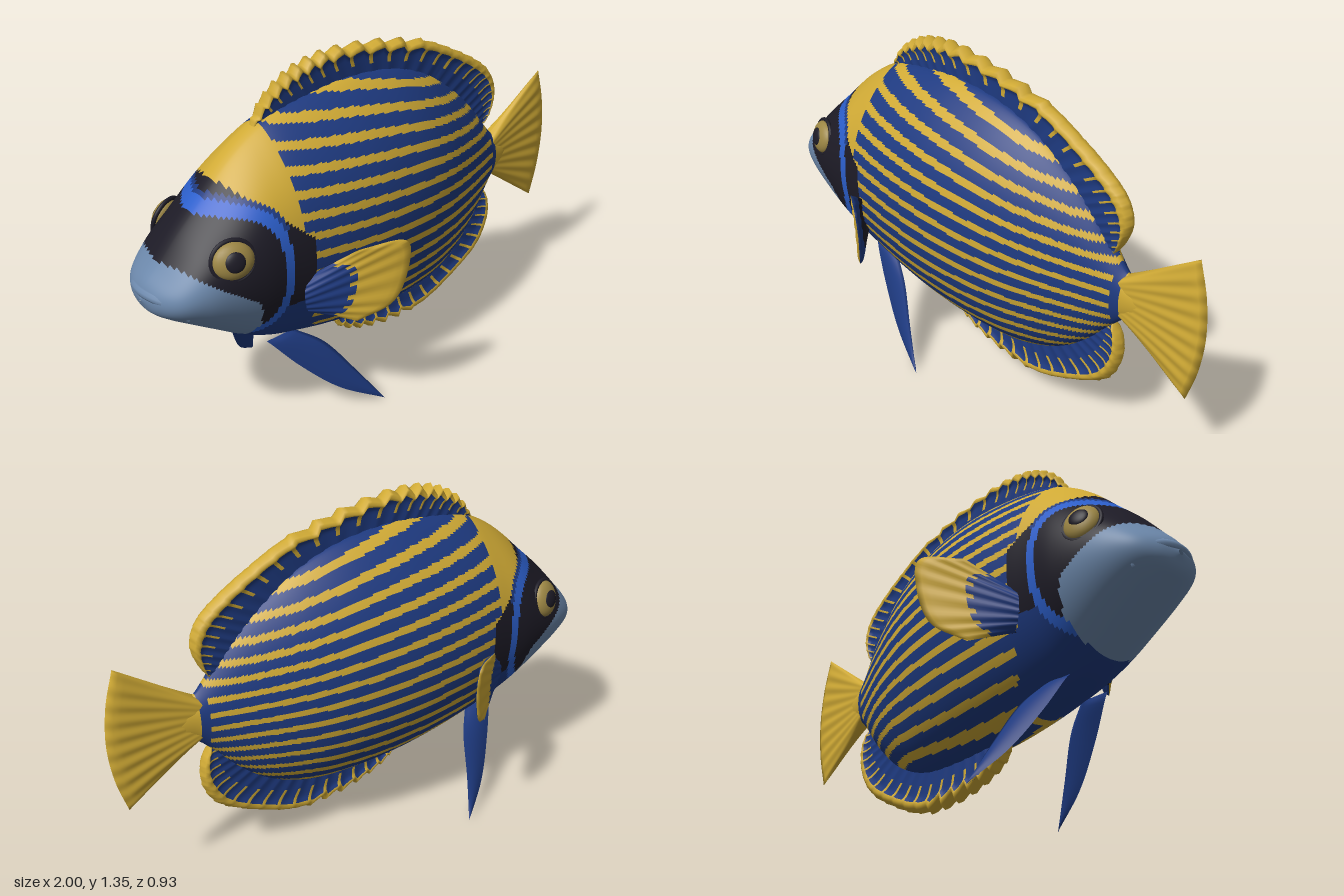
import * as THREE from 'three';

const mat = (name, color) => new THREE.MeshStandardMaterial({ name, color });
const V = (x, y, z = 0) => new THREE.Vector3(x, y, z);
const spline = (pts) => new THREE.CatmullRomCurve3(pts.map((p) => V(...p)), false, 'catmullrom');

// colour indices
const BLUE = 0, YELLOW = 1, BLACK = 2, BRIGHT = 3, GREY = 4;

// grid surface, v wraps round when closed; paint(u, v) picks a material per cell
function surface(name, mats, nu, nv, closed, point, paint) {
  const cols = closed ? nv : nv + 1, pos = [];
  for (let i = 0; i <= nu; i++)
    for (let j = 0; j < cols; j++) pos.push(...point(i / nu, j / nv).toArray());
  const lists = mats.map(() => []);
  for (let i = 0; i < nu; i++)
    for (let j = 0; j < nv; j++) {
      const a = i * cols + j, b = i * cols + ((j + 1) % cols);
      lists[paint((i + 0.5) / nu, (j + 0.5) / nv)].push(a, b, a + cols, b, b + cols, a + cols);
    }
  const geo = new THREE.BufferGeometry();
  geo.setAttribute('position', new THREE.Float32BufferAttribute(pos, 3));
  geo.setIndex(lists.flat());
  let start = 0;
  lists.forEach((l, k) => {
    if (l.length) geo.addGroup(start, l.length, k);
    start += l.length;
  });
  geo.computeVertexNormals();
  const mesh = new THREE.Mesh(geo, mats);
  mesh.name = name;
  return mesh;
}

// lens-shaped fin between a base curve and an edge curve, thickened along n
function fin(name, mats, { base, edge, n, nu, m = 14, thick, paint, reach = () => 1 }) {
  const b = spline(base), e = spline(edge);
  const out = e.getPoint(0.5).sub(b.getPoint(0.5));
  const along = e.getPoint(0.6).sub(e.getPoint(0.4));
  const first = Math.sign(out.cross(along).dot(n)) || 1;
  const where = (v) => ({ t: 1 - Math.abs(2 * v - 1), side: v < 0.5 ? first : -first });
  return surface(name, mats, nu, 2 * m, false, (s, v) => {
    const { t, side } = where(v);
    const h = thick(s, t) * Math.sqrt(Math.max(0, 1 - t ** 8)) * Math.sqrt(Math.max(0, 1 - (2 * s - 1) ** 8));
    return b.getPoint(s).lerp(e.getPoint(s), t + (reach(s) - 1) * t * t).addScaledVector(n, side * h);
  }, (s, v) => { const { t, side } = where(v); return paint(s, t, side); });
}

// body stations: x, top, bottom, half width
const STATIONS = [
  [-0.995, 0.70, 0.68, 0.01], [-0.975, 0.745, 0.635, 0.09], [-0.93, 0.795, 0.60, 0.155],
  [-0.85, 0.885, 0.545, 0.2], [-0.755, 0.975, 0.48, 0.228], [-0.65, 1.075, 0.41, 0.248],
  [-0.55, 1.145, 0.36, 0.255], [-0.45, 1.19, 0.33, 0.265], [-0.3, 1.22, 0.295, 0.277],
  [-0.12, 1.235, 0.265, 0.277], [0.08, 1.215, 0.25, 0.254], [0.25, 1.155, 0.26, 0.212],
  [0.4, 1.055, 0.32, 0.157], [0.52, 0.945, 0.42, 0.105], [0.61, 0.835, 0.525, 0.065],
  [0.67, 0.77, 0.585, 0.042], [0.74, 0.74, 0.62, 0.025], [0.8, 0.69, 0.67, 0.002],
];
const outline = spline(STATIONS.map(([x, top, bottom]) => [x, top, bottom]));
const widths = spline(STATIONS.map(([x, , , w]) => [x, w, 0]));

function bodyPoint(u, v) {
  const o = outline.getPoint(u), w = widths.getPoint(u).y;
  const f = 1 - Math.abs(2 * v - 1);          // 0 on the back, 1 on the belly
  const z = w * 2 * Math.sqrt(Math.max(0, f * (1 - f))) * (1 - 0.38 * (1 - f) ** 7);
  return V(o.x, o.y + (o.z - o.y) * f, v < 0.5 ? z : -z);
}

// face mask, collar and body stripes
function bodyPaint(u, v) {
  const { x, y } = bodyPoint(u, v);
  if (x > 0.66) return YELLOW;
  if (x > 0.63) return BLUE;
  // stripes close up a little towards the tail and run out against the fins
  if (x > -0.5 + Math.max(0, 0.6 - y) * 0.5 + (y > 0.62 && y < 0.85 ? 0.04 : 0)) {
    const spacing = 0.071 - 0.016 * THREE.MathUtils.smoothstep(x, -0.2, 0.7);
    const k = (20 + (0.745 - 0.11 * x - y) / spacing) % 1;
    return k > 0.34 && k < 0.73 ? YELLOW : BLUE;
  }
  // rounded muzzle with a slanting upper edge
  if (Math.hypot(x + 0.93, y - 0.53) < 0.275 && y < 0.825 - 0.71 * (x + 0.93)) return GREY;
  const [ry, p] = y > 0.7 ? [0.275, 3.5] : [0.25, 2.4];
  const r = (Math.abs((x + 0.78) / 0.222) ** p + Math.abs((y - 0.7) / ry) ** p) ** (1 / p);
  if (r < 0.88) return BLACK;
  if (r < 1.03) return BRIGHT;
  if (r < 1.09 && y > 0.88) return BLUE;
  if (y > 0.9 - (x + 0.55) * 0.9) return YELLOW;
  return y > 0.58 ? BLACK : BLUE;
}

export function createModel() {
  const fish = new THREE.Group();
  fish.name = 'fish';
  const mats = [
    mat('deep blue', 0x1e3a80), mat('golden yellow', 0xd0aa35), mat('mask black', 0x1d1b26),
    mat('bright blue', 0x2c5fcb), mat('muzzle grey', 0x6c88ab),
  ];
  const iris = mat('iris gold', 0x9c8644);
  const add = (name, geo, material, parent = fish) => {
    const mesh = new THREE.Mesh(geo, material);
    mesh.name = name;
    parent.add(mesh);
    return mesh;
  };

  fish.add(surface('body', mats, (STATIONS.length - 1) * 9, 350, true, bodyPoint, bodyPaint));

  // lips
  [['upperLip', 0.71, -0.982], ['lowerLip', 0.674, -0.97]].forEach(([name, y, x]) => {
    const path = spline([[-0.89, y - 0.04, 0.13], [x + 0.025, y - 0.01, 0.085], [x, y, 0],
      [x + 0.025, y - 0.01, -0.085], [-0.89, y - 0.04, -0.13]]);
    add(name, new THREE.TubeGeometry(path, 24, 0.018, 10), mats[GREY]);
  });

  // dorsal and anal fins: blue webs, yellow rays and rim, spiny leading part
  const rayed = (name, rays, spiny, base, edge) => fish.add(fin(name, mats, {
    base, edge, n: V(0, 0, 1), nu: rays * 5,
    thick: (s, t) => 0.02 + 0.018 * Math.exp(-(((t - 0.88) / 0.12) ** 2)) + ((s * rays) % 1 < 0.3 ? 0.003 : 0),
    reach: (s) => 1 + (s < spiny ? 0.28 : 0.03) * (((s * rays + 0.01) % 1) - 0.6),
    paint: (s, t) => (t > 0.82 || (t > 0.45 && (s * rays) % 1 < 0.2) ? YELLOW : BLUE),
  }));
  rayed('dorsalFin', 26, 0.5,
    [[-0.5, 1.13], [-0.42, 1.17], [-0.32, 1.19], [-0.22, 1.2], [-0.1, 1.21], [0.06, 1.19], [0.2, 1.15],
      [0.32, 1.09], [0.41, 1.02], [0.48, 0.96], [0.53, 0.9], [0.57, 0.85], [0.59, 0.81]],
    [[-0.53, 1.15], [-0.47, 1.24], [-0.39, 1.30], [-0.29, 1.335], [-0.15, 1.345], [0.06, 1.32], [0.275, 1.265],
      [0.435, 1.19], [0.57, 1.11], [0.64, 1.045], [0.665, 0.965], [0.64, 0.885], [0.6, 0.82]]);
  rayed('analFin', 20, 0.4,
    [[-0.2, 0.29], [-0.12, 0.29], [-0.02, 0.28], [0.1, 0.28], [0.22, 0.28], [0.33, 0.31], [0.43, 0.37],
      [0.5, 0.43], [0.55, 0.49], [0.59, 0.55]],
    [[-0.2, 0.26], [-0.14, 0.19], [-0.02, 0.137], [0.14, 0.11], [0.3, 0.12], [0.46, 0.185], [0.6, 0.27],
      [0.66, 0.375], [0.66, 0.47], [0.62, 0.55]]);

  // tail fan with raised rays
  fish.add(fin('tailFin', mats, {
    base: [[0.66, 0.765], [0.64, 0.72], [0.64, 0.68], [0.64, 0.64], [0.66, 0.595]],
    edge: [[0.945, 0.968], [0.983, 0.83], [0.998, 0.68], [0.983, 0.53], [0.945, 0.39]],
    n: V(0, 0, 1), nu: 90,
    thick: (s, t) => 0.022 * (1 - t) ** 2 + 0.016 + 0.003 * t * Math.cos(s * Math.PI * 2 * 9),
    paint: () => YELLOW,
  }));

  for (const k of [1, -1]) {
    const side = k > 0 ? 'left' : 'right';
    const flip = (pts) => pts.map(([x, y, z]) => [x, y, z * k]);

    // pectoral fin: yellow outside, black and blue behind
    fish.add(fin(side + 'PectoralFin', mats, {
      base: flip([[-0.48, 0.67, 0.235], [-0.5, 0.63, 0.24], [-0.5, 0.59, 0.24], [-0.49, 0.55, 0.235], [-0.47, 0.52, 0.23]]),
      edge: flip([[-0.37, 0.79, 0.37], [-0.24, 0.815, 0.455], [-0.22, 0.72, 0.46], [-0.26, 0.57, 0.43], [-0.36, 0.49, 0.35]]),
      n: V(-0.6, 0, 0.8 * k), nu: 40,
      thick: (s, t) => 0.016 - 0.006 * t + 0.002 * Math.cos(s * Math.PI * 14),
      paint: (s, t, face) => {
        if (face > 0) return t > 0.48 + 0.04 * Math.cos(s * 44) ? YELLOW : BLUE;
        return t < 0.55 ? BLACK : BLUE;
      },
    }));

    // pelvic fin: long blade, swept a little differently on each side
    const tip = k > 0 ? [-0.155, 0.003, 0.27] : [-0.335, 0.003, -0.33];
    const root = k > 0 ? [-0.52, 0.37, 0.1] : [-0.54, 0.37, -0.1];
    const mid = (a, dx, dy) => [root[0] + (tip[0] - root[0]) * a + dx, root[1] + (tip[1] - root[1]) * a + dy,
      root[2] + (tip[2] - root[2]) * a];
    fish.add(fin(side + 'PelvicFin', mats, {
      base: [mid(0, -0.05, 0), mid(0.3, -0.055, -0.02), mid(0.65, -0.045, -0.025), tip],
      edge: [mid(0, 0.07, 0), mid(0.3, 0.065, 0.03), mid(0.65, 0.03, 0.025), tip],
      n: V(0, 0.45, 0.9 * k), nu: 30, m: 8,
      thick: (s, t) => (0.012 * Math.sin(Math.PI * (t * 0.9 + 0.1)) + 0.003) * (1 - 0.5 * s),
      paint: () => BLUE,
    }));

    // eye: dark lid, golden iris, black pupil
    const eye = new THREE.Group();
    eye.name = side + 'Eye';
    eye.position.set(-0.755, 0.825, 0.197 * k);
    eye.quaternion.setFromUnitVectors(V(0, 0, 1), V(-0.3, 0.27, 0.9 * k).normalize());
    const ball = new THREE.SphereGeometry(1, 28, 18);
    add('iris', ball, iris, eye).scale.set(0.072, 0.064, 0.036);
    const pupil = add('pupil', ball, mats[BLACK], eye);
    pupil.scale.set(0.036, 0.036, 0.014);
    pupil.position.z = 0.027;
    const lid = add('eyelid', new THREE.TorusGeometry(0.069, 0.008, 10, 32), mats[BLACK], eye);
    lid.scale.x = 1.06;
    fish.add(eye);
  }
  return fish;
}
